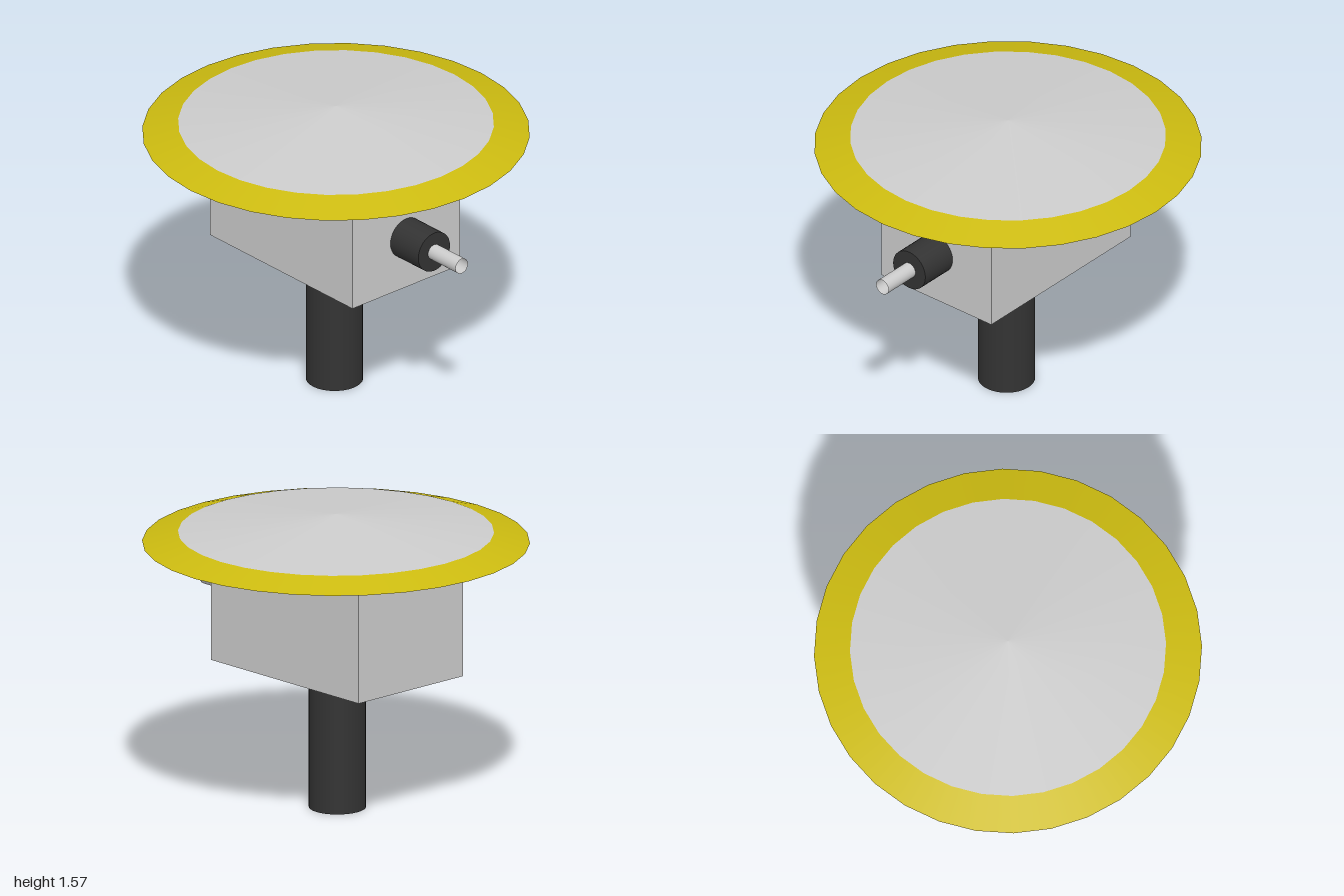
import * as THREE from 'three';

const mat = (color, side = THREE.FrontSide) => new THREE.MeshStandardMaterial({ color, side });

export function createModel() {
  const model = new THREE.Group();
  const grey = mat(0xcccccc);
  const greyThin = mat(0xcccccc, THREE.DoubleSide);
  const yellow = mat(0xccbb10);
  const yellowThin = mat(0xccbb10, THREE.DoubleSide);
  const dark = mat(0x333333);

  const add = (name, geometry, material, x, y, z) => {
    const mesh = new THREE.Mesh(geometry, material);
    mesh.name = name;
    mesh.position.set(x, y, z);
    model.add(mesh);
    return mesh;
  };

  // A thin conical ring between two [radius, height] points
  const coneShell = (...points) =>
    new THREE.LatheGeometry(points.map(([r, y]) => new THREE.Vector2(r, y)), 32);

  // A cylinder lying along z, from z0 to z1
  const rod = (name, radius, z0, z1, material, open) => {
    const geometry = new THREE.CylinderGeometry(radius, radius, z1 - z0, 32, 1, open);
    geometry.rotateX(Math.PI / 2);
    return add(name, geometry, material, -0.01, 1.03, (z0 + z1) / 2);
  };

  // Post with a yellow underside
  add('post', new THREE.CylinderGeometry(0.148, 0.148, 0.743, 32), [dark, dark, yellow], -0.01, 0.3715, 0);

  // Box body, its top tucked up under the roof
  add('body', new THREE.BoxGeometry(0.74, 0.74, 1.11), grey, -0.01, 1.113, 0.003);

  // Barrel and open-ended nozzle on the front
  rod('barrel', 0.109, 0.55, 0.775, dark, false);
  rod('nozzle', 0.042, 0.775, 0.99, greyThin, true);

  // Shallow conical roof: yellow brim and grey crown, open underneath
  add('roofBrim', coneShell([1, 1.423], [0.815, 1.477]), yellowThin, 0, 0, 0);
  add('roofCrown', coneShell([0.815, 1.477], [0, 1.573]), greyThin, 0, 0, 0);

  return model;
}
